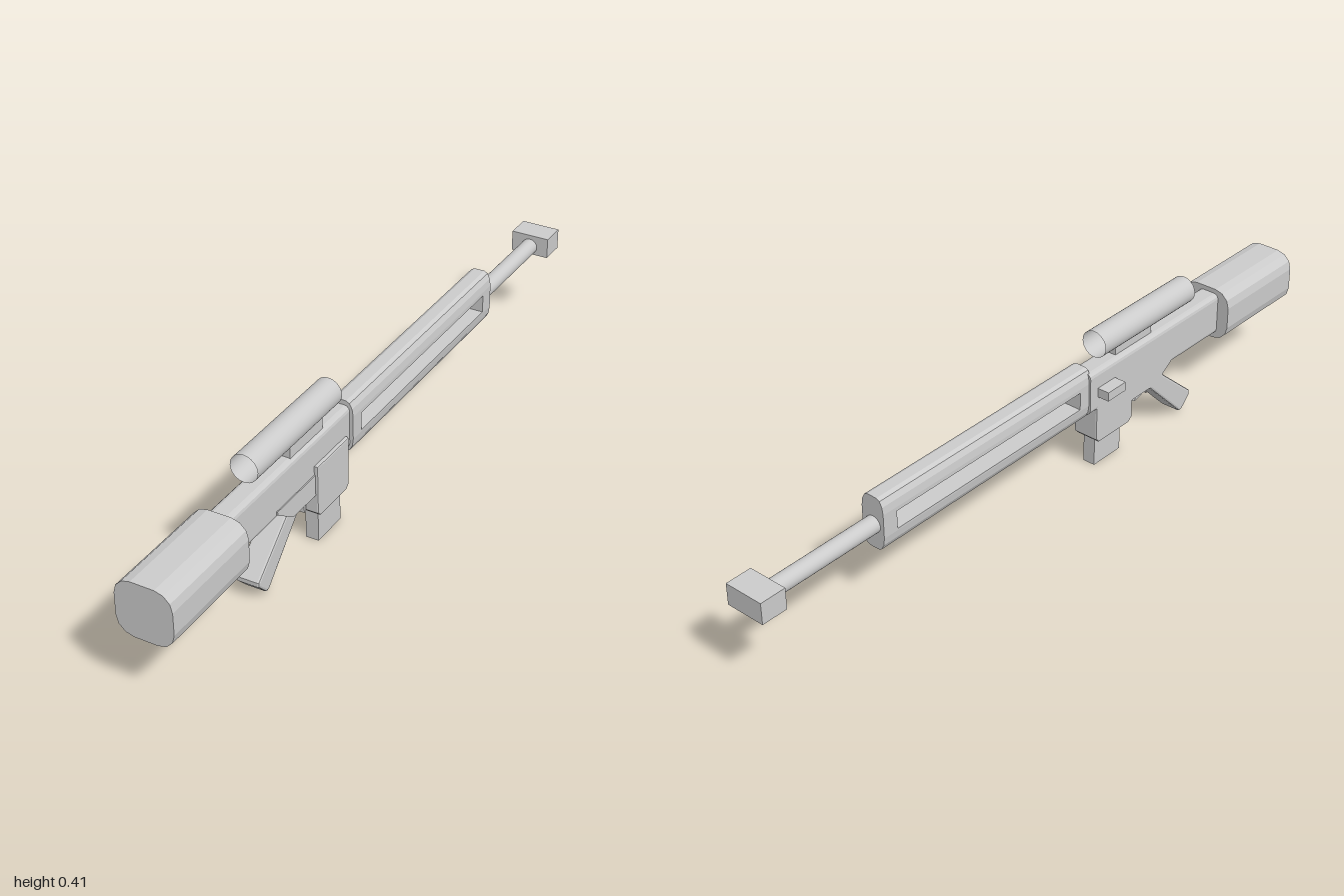
import * as THREE from 'three';

const material = new THREE.MeshStandardMaterial({ color: 0xcccccc, flatShading: true });
const smooth = new THREE.MeshStandardMaterial({ color: 0xcccccc, side: THREE.DoubleSide });

export function createModel() {
  const group = new THREE.Group();

  const add = (name, geometry, mat = material) => {
    const mesh = new THREE.Mesh(geometry, mat);
    mesh.name = name;
    group.add(mesh);
    return mesh;
  };

  // Box given by its extents on each axis
  const box = (name, [x0, x1], [y0, y1], [z0, z1]) =>
    add(name, new THREE.BoxGeometry(x1 - x0, y1 - y0, z1 - z0)
      .translate((x0 + x1) / 2, (y0 + y1) / 2, (z0 + z1) / 2));

  // Facet-cornered section in xy, optionally clipped to a y range, run along z
  const bar = (name, [x0, x1], [y0, y1], [z0, z1], rx, ry, clip = [y0, y1]) => {
    const points = [];
    const corners = [[x1 - rx, y1 - ry], [x0 + rx, y1 - ry], [x0 + rx, y0 + ry], [x1 - rx, y0 + ry]];
    corners.forEach(([cx, cy], k) => {
      for (let i = 0; i <= 3; i++) {
        const a = (k + i / 3) * Math.PI / 2;
        const y = cy + ry * Math.sin(a);
        points.push(new THREE.Vector2(cx + rx * Math.cos(a), THREE.MathUtils.clamp(y, clip[0], clip[1])));
      }
    });
    // Drop points that the clipping has folded onto the cut line
    const kept = points.filter((p) => {
      const cutLow = clip[0] > y0 && p.y === clip[0];
      const cutHigh = clip[1] < y1 && p.y === clip[1];
      return !(cutLow || cutHigh) || Math.abs(p.x - x0) < 1e-6 || Math.abs(p.x - x1) < 1e-6;
    });
    const geometry = new THREE.ExtrudeGeometry(new THREE.Shape(kept), { depth: z1 - z0, bevelEnabled: false });
    return add(name, geometry.translate(0, 0, z0));
  };

  // Side outline given as [z, y], run across x with a small bevel
  const plate = (name, outline, [x0, x1], bevel = 0) => {
    const shape = new THREE.Shape(outline.map(([z, y]) => new THREE.Vector2(z, y)));
    const geometry = new THREE.ExtrudeGeometry(shape, {
      depth: x1 - x0 - 2 * bevel, bevelEnabled: bevel > 0, bevelSize: bevel,
      bevelThickness: bevel, bevelOffset: -bevel, bevelSegments: 2,
    });
    return add(name, geometry.rotateY(-Math.PI / 2).translate(x1 - bevel, 0, 0));
  };

  // Round rod along z
  const rod = (name, r, x, y, [z0, z1], open = false) =>
    add(name, new THREE.CylinderGeometry(r, r, z1 - z0, 32, 1, open)
      .rotateX(Math.PI / 2).translate(x, y, (z0 + z1) / 2), smooth);

  // Stock and main body
  bar('stock', [-0.077, 0.075], [0.173, 0.323], [0.7, 1], 0.045, 0.045);
  bar('body', [-0.042, 0.022], [0.188, 0.31], [0.15, 0.71], 0.014, 0.014);

  // Front guard with a long slot running right through it
  const gx = [-0.037, 0.032], gy = [0.177, 0.323];
  const slotY = [0.222, 0.272], slotZ = [-0.555, 0.115];
  bar('guardTop', gx, gy, slotZ, 0.02, 0.04, [slotY[1], gy[1]]);
  bar('guardBottom', gx, gy, slotZ, 0.02, 0.04, [gy[0], slotY[0]]);
  bar('guardRearEnd', gx, gy, [slotZ[1], 0.157], 0.02, 0.04);
  bar('guardFrontEnd', gx, gy, [-0.6, slotZ[0]], 0.02, 0.04);

  // Barrel and end block
  rod('barrel', 0.023, -0.003, 0.244, [-0.93, -0.595]);
  box('endBlock', [-0.058, 0.053], [0.22, 0.279], [-1, -0.927]);

  // Sight tube with recessed lens, on its mount
  rod('sightTube', 0.0375, -0.011, 0.368, [0.2, 0.58], true);
  rod('sightLens', 0.037, -0.011, 0.368, [0.3, 0.48]);
  box('sightMount', [-0.026, 0.013], [0.3, 0.342], [0.27, 0.42]);

  // Lower housing, magazine well, magazine and side handle
  plate('lowerHousing', [[0.5, 0.2], [0.43, 0.152], [0.2, 0.152], [0.2, 0.21], [0.5, 0.21]], [-0.042, 0.025]);
  plate('magazineWell', [[0.328, 0.235], [0.328, 0.1], [0.316, 0.088], [0.19, 0.088], [0.178, 0.1], [0.178, 0.235]],
    [-0.042, 0.032], 0.004);
  box('magazine', [-0.018, 0.018], [0, 0.1], [0.2, 0.307]);
  box('sideHandle', [-0.077, -0.035], [0.232, 0.258], [0.18, 0.25]);

  // Slanted grip
  plate('grip', [[0.43, 0.195], [0.588, 0.058], [0.588, 0.046], [0.555, 0.012], [0.543, 0.012], [0.405, 0.15], [0.38, 0.195]],
    [-0.042, 0.023], 0.006);

  // Trigger and small guard post
  plate('trigger', [[0.425, 0.115], [0.417, 0.155], [0.395, 0.155], [0.37, 0.116], [0.4, 0.122], [0.41, 0.14]], [-0.016, -0.002]);
  box('guardPost', [-0.018, 0], [0.1, 0.16], [0.333, 0.342]);

  return group;
}
